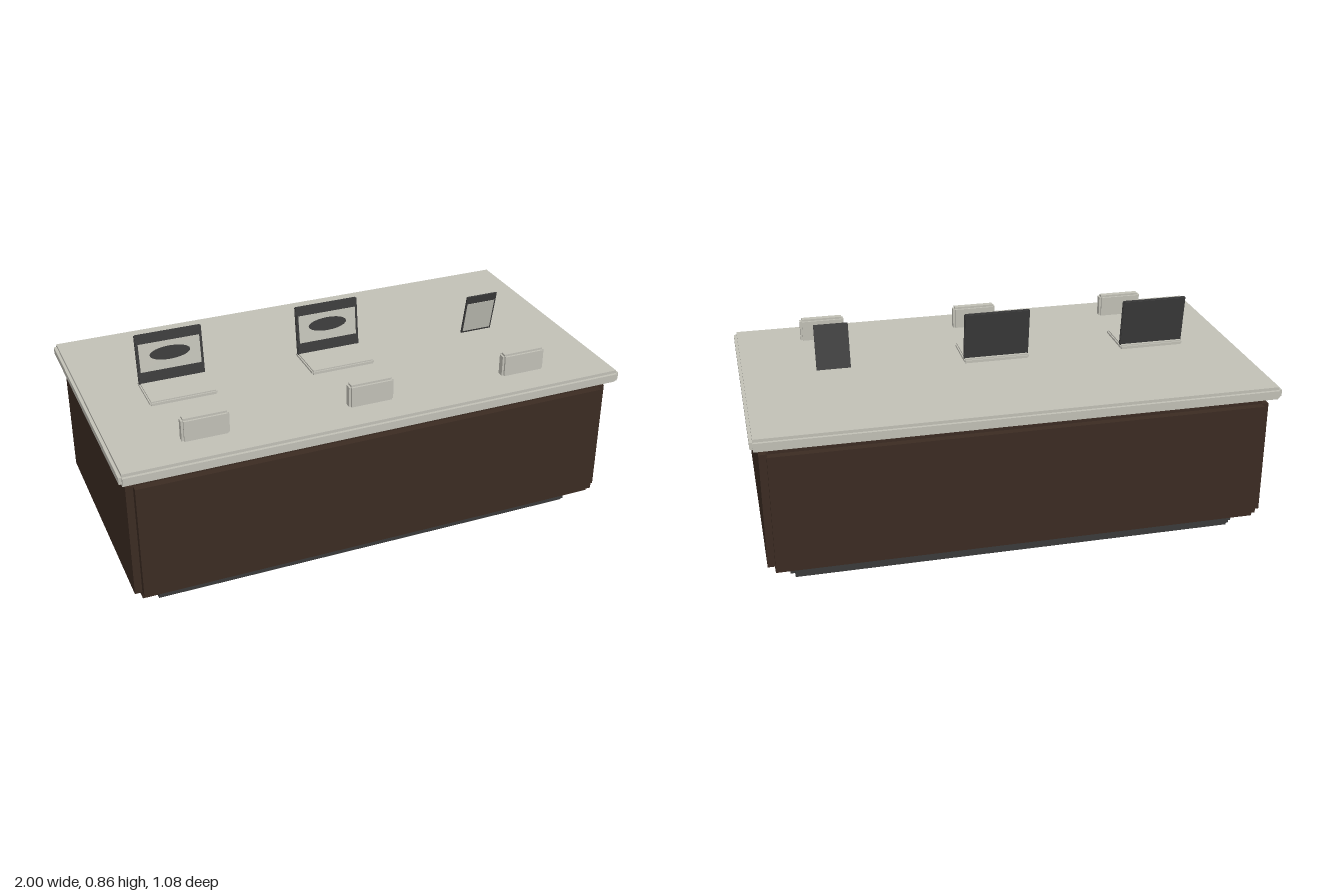
import * as THREE from 'three';

const material = (name, color) => {
  const m = new THREE.MeshStandardMaterial({ color });
  m.name = name;
  return m;
};

export function createModel() {
  const wood = material('dark brown wood', 0x3b2b22);
  const stone = material('pale grey', 0xc1c0b6);
  const dark = material('charcoal', 0x3a3a3a);

  const model = new THREE.Group();
  model.name = 'displayTable';

  const box = (parent, name, mat, size, pos) => {
    const mesh = new THREE.Mesh(new THREE.BoxGeometry(...size), mat);
    mesh.name = name;
    mesh.position.set(...pos);
    parent.add(mesh);
    return mesh;
  };

  // Block with notched edges: three crossing boxes, each full size on one axis
  const notchedBlock = (parent, name, mat, size, pos, step) => {
    const block = new THREE.Group();
    block.name = name;
    block.position.set(...pos);
    for (let axis = 0; axis < 3; axis++) {
      const s = size.map((v, i) => (i === axis ? v : v - 2 * step));
      box(block, name + 'Core', mat, s, [0, 0, 0]);
    }
    parent.add(block);
    return block;
  };

  // Table: recessed plinth, wooden body, overhanging top
  notchedBlock(model, 'plinth', dark, [1.772, 0.09, 0.87], [0, 0.045, 0], 0.018);
  notchedBlock(model, 'body', wood, [1.942, 0.518, 1.026], [0, 0.329, 0], 0.028);
  notchedBlock(model, 'tableTop', stone, [2, 0.05, 1.08], [0, 0.619, 0], 0.0115);

  // Information plaques along the front edge
  for (const x of [-0.645, 0, 0.643]) {
    notchedBlock(model, 'plaque', stone, [0.18, 0.098, 0.04], [x, 0.684, 0.3845], 0.008);
  }

  // Laptops: keyboard deck and tilted lid with screen
  for (const x of [-0.645, 0]) {
    const laptop = new THREE.Group();
    laptop.name = 'laptop';
    laptop.position.x = x;
    notchedBlock(laptop, 'keyboardDeck', stone, [0.262, 0.018, 0.185], [0, 0.662, 0.0405], 0.005);

    const lid = new THREE.Group();
    lid.name = 'lid';
    lid.position.set(0, 0.665, -0.029);
    lid.rotation.x = -0.13;
    notchedBlock(lid, 'lidShell', dark, [0.262, 0.198, 0.013], [0, 0.099, 0], 0.003);
    box(lid, 'screen', stone, [0.24, 0.112, 0.002], [0, 0.105, 0.0072]);
    const oval = new THREE.Mesh(new THREE.CircleGeometry(1, 24), dark);
    oval.name = 'screenOval';
    oval.scale.set(0.08, 0.027, 1);
    oval.position.set(0, 0.112, 0.0092);
    lid.add(oval);
    laptop.add(lid);
    model.add(laptop);
  }

  // Tablet leaning towards the front
  const tablet = new THREE.Group();
  tablet.name = 'tablet';
  tablet.position.set(0.639, 0.74, 0.0355);
  tablet.rotation.x = 0.21;
  box(tablet, 'tabletShell', dark, [0.134, 0.178, 0.006], [0, 0, 0]);
  box(tablet, 'tabletScreen', stone, [0.122, 0.136, 0.002], [0, -0.013, 0.0032]);
  model.add(tablet);

  return model;
}
